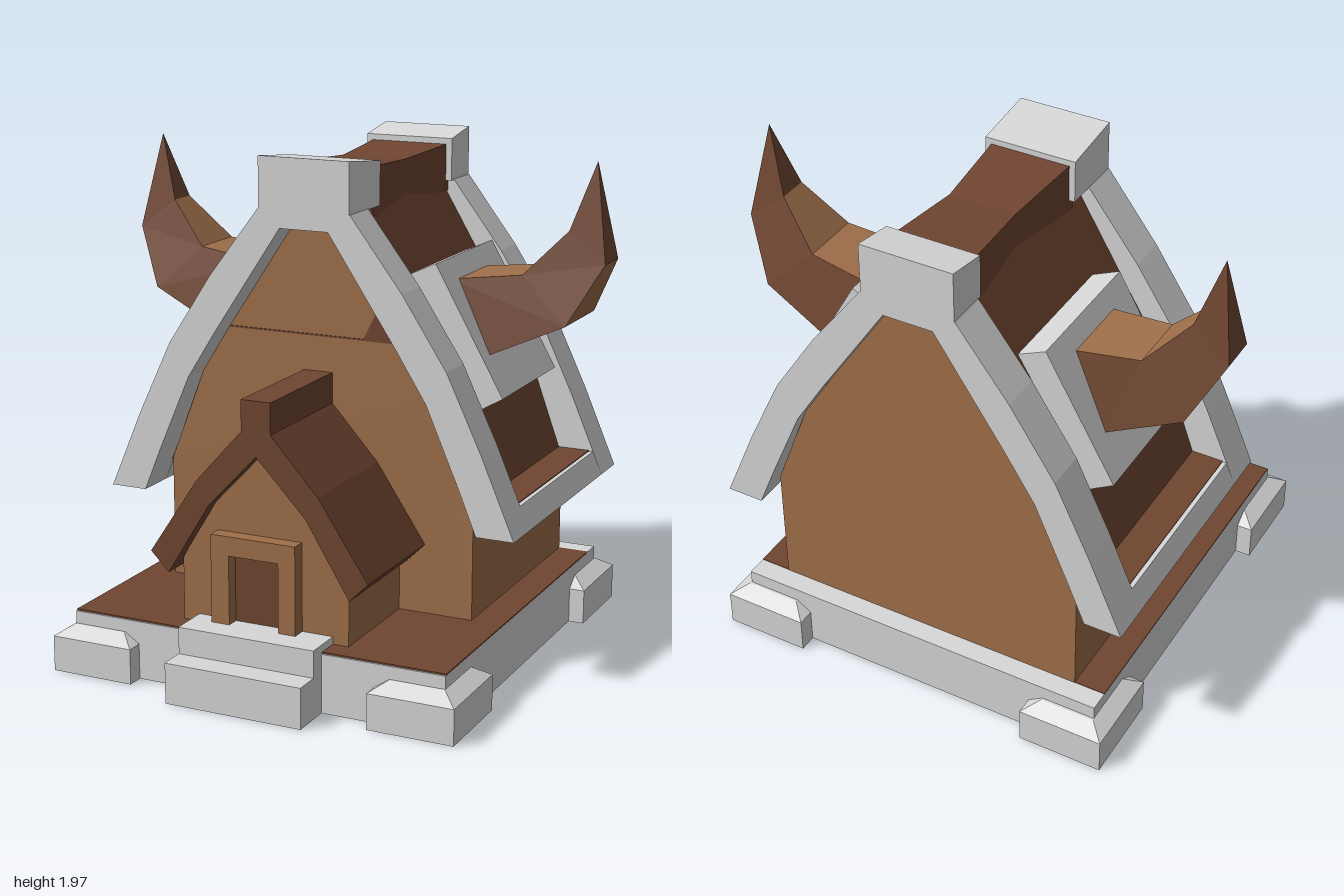
import * as THREE from 'three';

const stone = new THREE.MeshStandardMaterial({ color: 0xd8d8d8 });
stone.name = 'paleStone';
const wood = new THREE.MeshStandardMaterial({ color: 0xa0704a });
wood.name = 'lightWood';
const dark = new THREE.MeshStandardMaterial({ color: 0x704631 });
dark.name = 'darkWood';

export function createModel() {
  const model = new THREE.Group();
  model.name = 'hornedLonghouse';

  const add = (name, geometry, material) => {
    const mesh = new THREE.Mesh(geometry, material);
    mesh.name = name;
    model.add(mesh);
    return mesh;
  };

  // Box given by its limits
  const box = (name, material, x0, x1, y0, y1, z0, z1) => {
    const g = new THREE.BoxGeometry(x1 - x0, y1 - y0, z1 - z0);
    g.translate((x0 + x1) / 2, (y0 + y1) / 2, (z0 + z1) / 2);
    return add(name, g, material);
  };

  // Outline in x and y, extruded from z0 to z1
  const prism = (name, material, points, z0, z1) => {
    const shape = new THREE.Shape(points.map(([x, y]) => new THREE.Vector2(x, y)));
    const g = new THREE.ExtrudeGeometry(shape, { depth: z1 - z0, bevelEnabled: false });
    g.translate(0, 0, z0);
    return add(name, g, material);
  };

  // Right half of an outline completed with its mirror image
  const mirrored = (half) => [...half, ...half.filter(([x]) => x !== 0).map(([x, y]) => [-x, y]).reverse()];
  // Band between an outer and an inner arch, both listed from eave to ridge
  const arch = (outer, inner) => [
    ...outer, ...outer.map(([x, y]) => [-x, y]).reverse(),
    ...inner.map(([x, y]) => [-x, y]), ...[...inner].reverse(),
  ];

  // Box whose vertices are moved by a rule, with flat faces
  const shapedBox = (name, material, w, h, d, hs, ds, rule) => {
    let g = new THREE.BoxGeometry(w, h, d, 1, hs, ds);
    const p = g.attributes.position;
    const v = new THREE.Vector3();
    for (let i = 0; i < p.count; i++) {
      rule(v.fromBufferAttribute(p, i));
      p.setXYZ(i, v.x, v.y, v.z);
    }
    g = g.toNonIndexed();
    g.computeVertexNormals();
    return add(name, g, material);
  };

  // Stone foundation ring and timber floor
  box('foundationFront', stone, -0.77, 0.77, 0, 0.23, 0.645, 0.745);
  box('foundationBack', stone, -0.77, 0.77, 0, 0.234, -0.848, -0.748);
  for (const s of [-1, 1]) {
    box('foundationSide', stone, s * 0.72 - 0.05, s * 0.72 + 0.05, 0, 0.23, -0.748, 0.645);
  }
  box('floor', dark, -0.77, 0.77, 0.228, 0.236, -0.765, 0.738);

  // Wall footings showing under the floor
  box('frontWallFooting', wood, -0.65, 0.65, 0.18, 0.228, 0.16, 0.2);
  box('porchWallFooting', wood, -0.345, 0.345, 0.18, 0.228, 0.6, 0.64);
  for (const s of [-1, 1]) {
    box('porchSideFooting', wood, s * 0.325 - 0.02, s * 0.325 + 0.02, 0.18, 0.228, 0.2, 0.6);
  }

  // Chamfered corner stones
  for (const s of [-1, 1]) {
    for (const z of [0.63, -0.735]) {
      shapedBox('cornerStone', stone, 0.34, 0.18, 0.365, 2, 1, (v) => {
        if (v.y > 0.05) {
          v.x -= Math.sign(v.x) * 0.06;
          v.z -= Math.sign(v.z) * 0.06;
        } else if (v.y > -0.05) v.y = 0.05;
      }).position.set(s * 0.662, 0.09, z);
    }
  }

  // Entrance steps
  box('lowerStep', stone, -0.28, 0.28, 0, 0.16, 0.75, 0.915);
  box('upperStep', stone, -0.28, 0.28, 0, 0.265, 0.65, 0.81);

  // House body
  const wallArch = [[0.645, 0.23], [0.645, 0.72], [0.5, 1.09], [0.38, 1.28], [0.1, 1.7]];
  prism('houseBody', wood, mirrored(wallArch), -0.766, 0.2);
  prism('gablePatch', dark, [[0.19, 1.28], [0.38, 1.28], [0.24, 1.49], [0.22, 1.45], [0.25, 1.4]], 0.2, 0.204);
  box('gableSeam', dark, -0.38, 0.38, 1.277, 1.283, 0.2, 0.204);

  // Roof covering
  prism('roofCovering', dark, mirrored([[0.67, 0.7], [0.525, 1.1], [0.41, 1.3], [0.13, 1.77]]), -0.67, 0.17);

  // Stone arches at both ends
  const outer = [[0.855, 0.61], [0.72, 0.925], [0.58, 1.22], [0.4, 1.495], [0.19, 1.77]];
  const inner = [[0.705, 0.61], [0.635, 0.78], [0.5, 1.09], [0.38, 1.28], [0.1, 1.7]];
  prism('frontArch', stone, arch(outer, inner), 0.16, 0.32);
  prism('backArch', stone, arch(outer, inner), -0.82, -0.66);

  // Eaves with a timber ledge
  for (const s of [-1, 1]) {
    const eave = [[0.705, 0.61], [0.855, 0.61], [0.815, 0.7], [0.665, 0.7]];
    prism('eave', stone, eave.map(([x, y]) => [s * x, y]), -0.66, 0.16);
    box('eaveLedge', dark, s * 0.73 - 0.068, s * 0.73 + 0.068, 0.698, 0.704, -0.66, 0.16);
  }

  // Ridge beam sagging in the middle
  shapedBox('ridgeBeam', dark, 0.33, 0.19, 0.75, 1, 2, (v) => {
    if (Math.abs(v.z) < 0.1) {
      v.x *= 0.82;
      if (v.y > 0) v.y -= 0.02;
    }
  }).position.set(0, 1.82, -0.3);

  // Ridge caps rising towards the ends
  for (const [z0, z1, s] of [[0.05, 0.32, 1], [-0.82, -0.64, -1]]) {
    shapedBox('ridgeCap', stone, 0.375, 0.2, z1 - z0, 1, 1, (v) => {
      if (v.y > 0 && v.z * s < 0) v.y -= 0.03;
    }).position.set(0, 1.867, (z0 + z1) / 2);
  }

  // Horns on tilted stone plates
  const stations = [
    { t: [0.405, 1.475], b: [0.58, 1.2], ht: 0.15, hb: 0.205 },
    { t: [0.69, 1.51], b: [0.88, 1.335], ht: 0.125, hb: 0.165 },
    { t: [0.85, 1.68], b: [1.0, 1.565], ht: 0.06, hb: 0.075 },
    { t: [0.935, 1.94], b: [0.935, 1.94], ht: 0, hb: 0 },
  ];
  const horn = (s) => {
    const rings = stations.map(({ t, b, ht, hb }) => [
      [s * t[0], t[1], -0.265 + ht], [s * b[0], b[1], -0.265 + hb],
      [s * b[0], b[1], -0.265 - hb], [s * t[0], t[1], -0.265 - ht],
    ]);
    const faces = [[], []];
    const tri = (list, a, b, c) => list.push(...a, ...(s > 0 ? [...b, ...c] : [...c, ...b]));
    for (let i = 0; i < 3; i++) {
      for (let k = 0; k < 4; k++) {
        const n = (k + 1) % 4;
        const pale = (k === 3 && i < 2) || (k === 1 && i === 1);
        const list = faces[pale ? 1 : 0];
        tri(list, rings[i][k], rings[i][n], rings[i + 1][n]);
        if (i < 2) tri(list, rings[i][k], rings[i + 1][n], rings[i + 1][k]);
      }
    }
    const g = new THREE.BufferGeometry();
    g.setAttribute('position', new THREE.Float32BufferAttribute([...faces[0], ...faces[1]], 3));
    g.addGroup(0, faces[0].length / 3, 0);
    g.addGroup(faces[0].length / 3, faces[1].length / 3, 1);
    g.computeVertexNormals();
    return g;
  };
  for (const s of [-1, 1]) {
    const plate = [[0.4, 1.555], [0.28, 1.5], [0.56, 0.99], [0.68, 1.06]];
    prism('hornPlate', stone, plate.map(([x, y]) => [s * x, y]), -0.56, 0.01);
    add(s > 0 ? 'leftHorn' : 'rightHorn', horn(s), [dark, wood]);
  }

  // Porch
  prism('porchBody', wood, mirrored([[0.345, 0.23], [0.345, 0.48], [0.2, 0.74], [0, 0.95]]), 0.19, 0.65);
  prism('porchRoof', dark, [
    ...mirrored([[0.375, 0.435], [0.45, 0.51], [0.25, 0.81], [0.06, 1.02], [0.06, 1.14]]),
    [-0.2, 0.72], [0, 0.93], [0.2, 0.72],
  ], 0.2, 0.71);

  // Doorway
  box('doorPostRight', wood, -0.195, -0.12, 0.265, 0.535, 0.65, 0.708);
  box('doorPostLeft', wood, 0.085, 0.155, 0.265, 0.535, 0.65, 0.708);
  box('doorLintel', wood, -0.195, 0.155, 0.535, 0.61, 0.65, 0.708);
  box('door', dark, -0.12, 0.085, 0.265, 0.535, 0.65, 0.656);

  return model;
}
